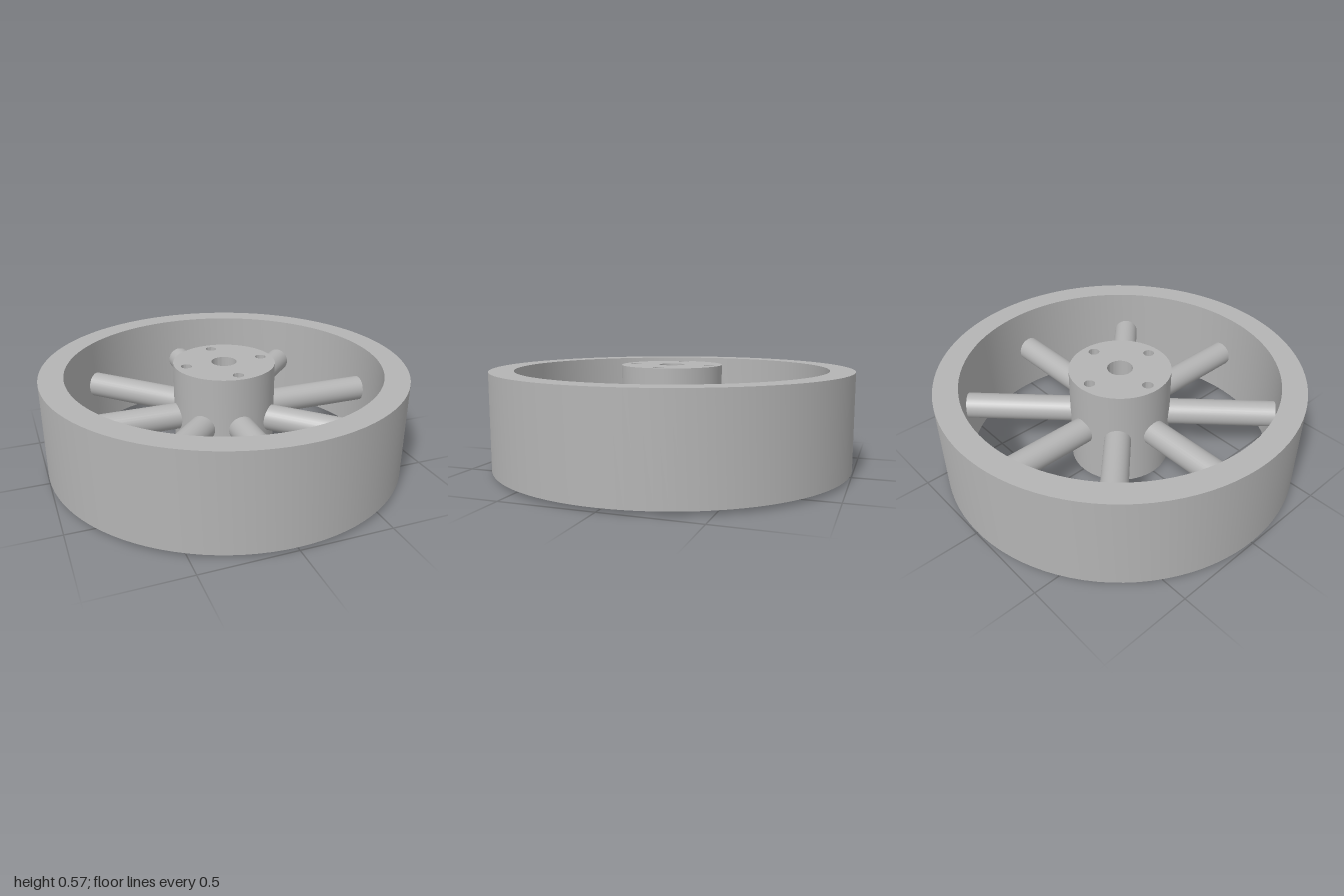
import * as THREE from 'three';
import { toCreasedNormals } from 'three/addons/utils/BufferGeometryUtils.js';

const RIM_OUTER = 1, RIM_INNER = 0.867, HUB_RADIUS = 0.28;
const RIM_HEIGHT = 0.53, HUB_HEIGHT = 0.57, MID = HUB_HEIGHT / 2;

// Upright disc centred on the wheel's mid height, pierced by [x, z, radius] holes
function piercedDisc(radius, height, holes, segments) {
  const shape = new THREE.Shape().absarc(0, 0, radius, 0, Math.PI * 2);
  for (const [x, z, r] of holes) {
    shape.holes.push(new THREE.Path().absarc(x, z, r, 0, Math.PI * 2, true));
  }
  const geometry = new THREE.ExtrudeGeometry(shape, {
    depth: height, bevelEnabled: false, curveSegments: segments,
  });
  geometry.rotateX(-Math.PI / 2).translate(0, MID - height / 2, 0);
  return toCreasedNormals(geometry, Math.PI / 5);
}

export function createModel() {
  const wheel = new THREE.Group();
  wheel.name = 'wheel';
  const grey = new THREE.MeshStandardMaterial({ color: 0xb4b4b4 });
  grey.name = 'grey metal';

  function add(name, geometry) {
    const mesh = new THREE.Mesh(geometry, grey);
    mesh.name = name;
    wheel.add(mesh);
    return mesh;
  }

  // Outer ring
  add('rim', piercedDisc(RIM_OUTER, RIM_HEIGHT, [[0, 0, RIM_INNER]], 48));

  // Hub with a central bore and four bolt holes
  const holes = [[0, 0, 0.07]];
  for (let i = 0; i < 4; i++) {
    const a = i * Math.PI / 2;
    holes.push([0.217 * Math.cos(a), 0.217 * Math.sin(a), 0.03]);
  }
  add('hub', piercedDisc(HUB_RADIUS, HUB_HEIGHT, holes, 32));

  // Eight round spokes, with ends buried in the hub and rim
  const start = 0.265, end = 0.885;
  const spoke = new THREE.CylinderGeometry(0.072, 0.072, end - start, 32, 1, true);
  spoke.rotateZ(-Math.PI / 2).translate((start + end) / 2, 0, 0);
  for (let i = 0; i < 8; i++) {
    const mesh = add('spoke' + (i + 1), spoke);
    mesh.position.y = MID;
    mesh.rotation.y = i * Math.PI / 4;
  }
  return wheel;
}
